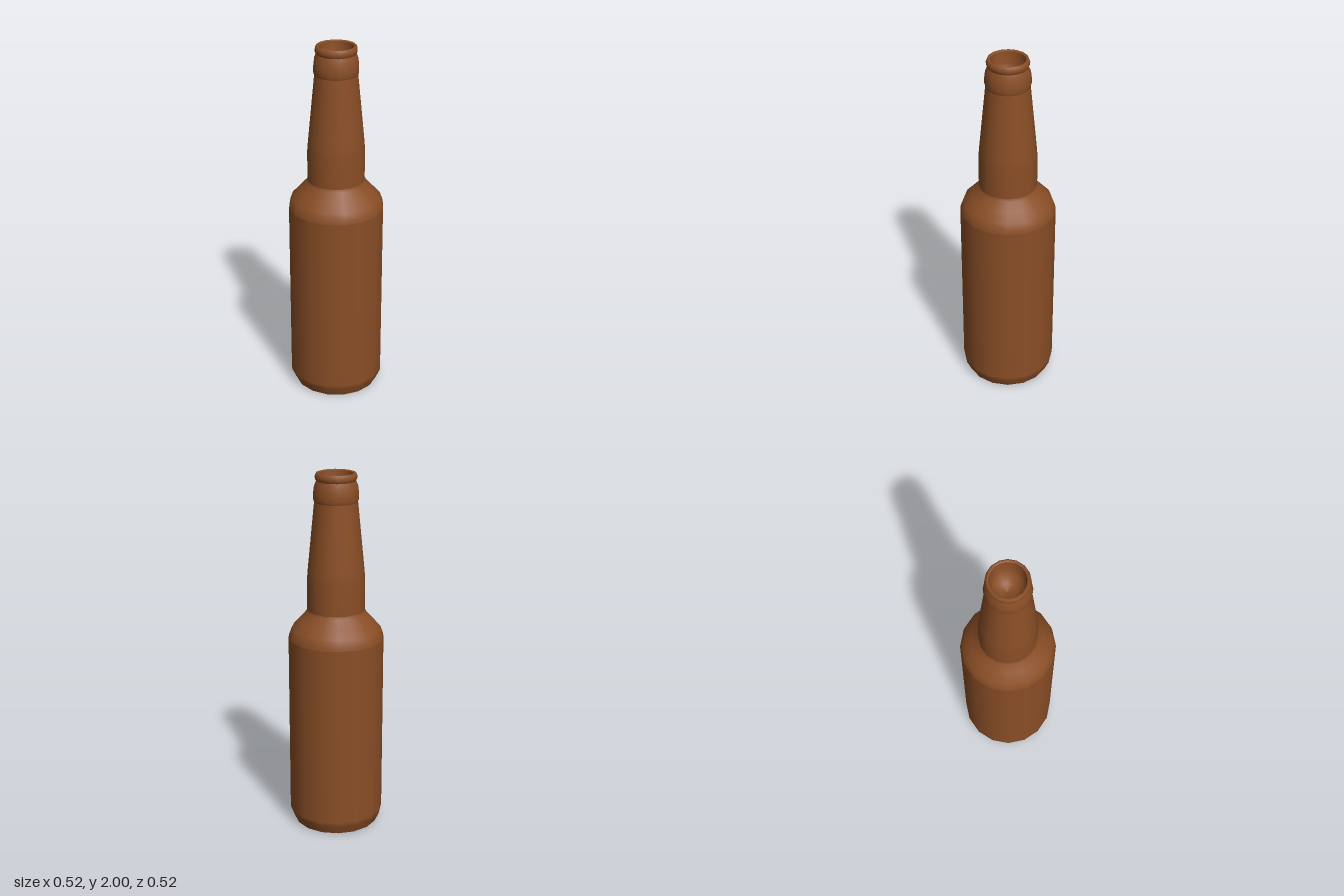
import * as THREE from 'three';

const SIDES = 16;

export function createModel() {
  const bottle = new THREE.Group();
  bottle.name = 'bottle';
  const brown = new THREE.MeshStandardMaterial({ color: 0x8a4e26 });
  brown.name = 'brown glass';

  // Each part is a smooth turned profile of [radius, height]; part borders stay crisp
  const turn = (name, profile) => {
    const points = profile.map(([r, y]) => new THREE.Vector2(r, y));
    const mesh = new THREE.Mesh(new THREE.LatheGeometry(points, SIDES), brown);
    mesh.name = name;
    bottle.add(mesh);
  };

  turn('base', [[0, 0], [0.235, 0]]);
  turn('body', [[0.235, 0], [0.26, 0.055], [0.262, 0.075], [0.262, 0.6], [0.262, 1.09]]);
  turn('shoulder', [[0.262, 1.09], [0.258, 1.11], [0.244, 1.148], [0.2, 1.195], [0.164, 1.235], [0.158, 1.25]]);
  turn('neck', [[0.158, 1.25], [0.158, 1.42], [0.153, 1.48], [0.117, 1.845]]);
  turn('collar', [[0.117, 1.845], [0.122, 1.86], [0.122, 1.89], [0.117, 1.93], [0.106, 1.957]]);
  // Rounded lip rolling over into the mouth
  turn('lip', [[0.106, 1.957], [0.112, 1.968], [0.113, 1.982], [0.107, 1.998], [0.1, 2], [0.093, 1.995]]);
  // Hollow inside of the mouth
  turn('mouth', [[0.093, 1.995], [0.09, 1.93], [0.075, 1.885], [0.04, 1.86], [0, 1.85]]);

  return bottle;
}
